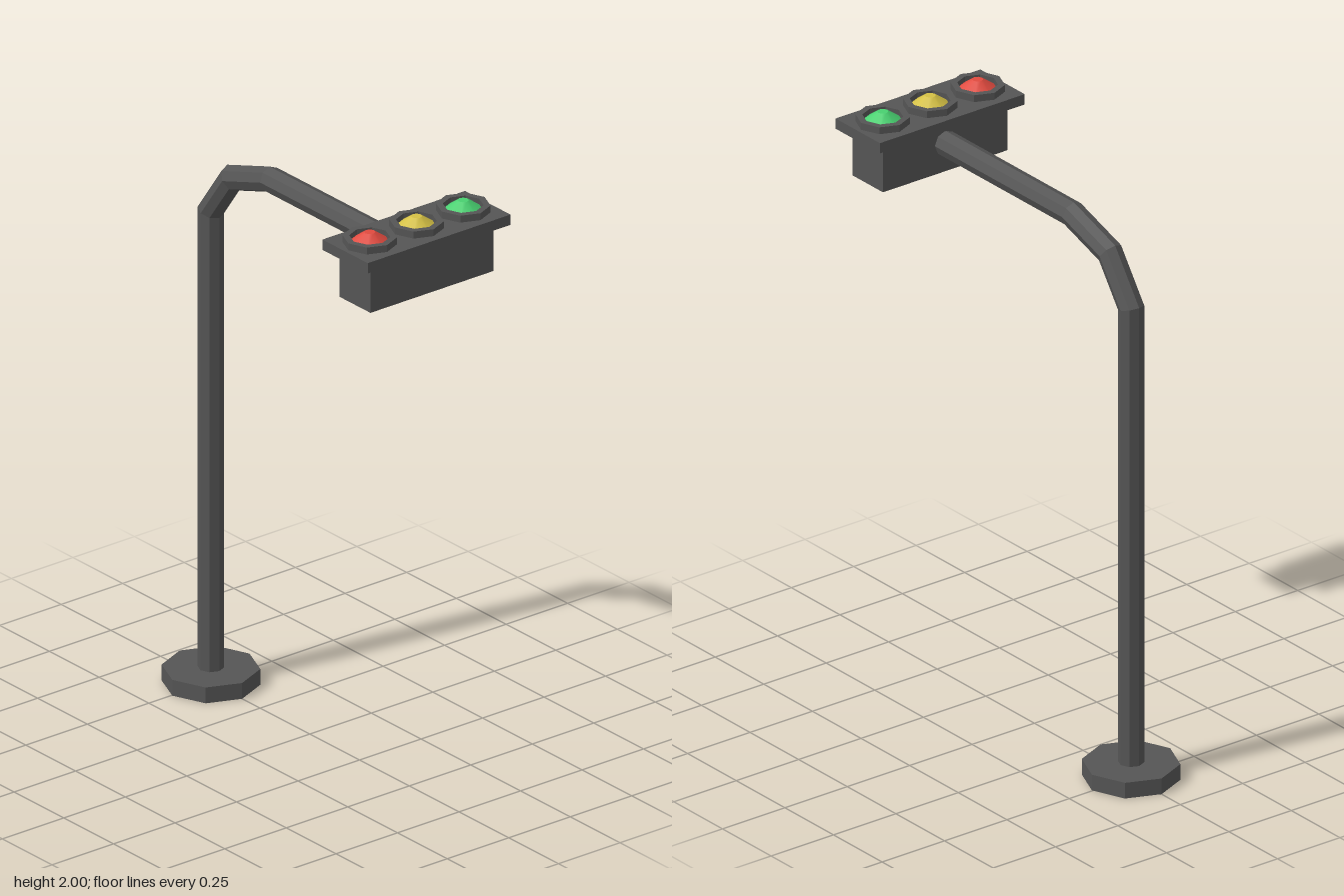
import * as THREE from 'three';

const SIDES = 8;
const metal = new THREE.MeshStandardMaterial({ color: 0x555555, flatShading: true });

function addMesh(parent, name, geometry, material, x = 0, y = 0, z = 0) {
  const mesh = new THREE.Mesh(geometry, material);
  mesh.name = name;
  mesh.position.set(x, y, z);
  parent.add(mesh);
  return mesh;
}

// Octagonal tube along a path in the xy plane, with mitred bends
function mitredTube(path, radius) {
  const points = path.map(([x, y]) => new THREE.Vector2(x, y));
  const positions = [], index = [];
  points.forEach((p, i) => {
    const before = points[i].clone().sub(points[Math.max(i - 1, 0)]).normalize();
    const after = points[Math.min(i + 1, points.length - 1)].clone().sub(p).normalize();
    const tangent = before.clone().add(after).normalize();
    const stretch = 1 / tangent.dot(i === 0 ? after : before);
    for (let k = 0; k < SIDES; k++) {
      const a = (k / SIDES) * Math.PI * 2;
      const n = Math.cos(a) * radius * stretch;
      positions.push(p.x - tangent.y * n, p.y + tangent.x * n, Math.sin(a) * radius);
      if (i === 0) continue;
      const k2 = (k + 1) % SIDES, lo = (i - 1) * SIDES, hi = i * SIDES;
      index.push(lo + k, lo + k2, hi + k, lo + k2, hi + k2, hi + k);
    }
  });
  const geometry = new THREE.BufferGeometry();
  geometry.setAttribute('position', new THREE.Float32BufferAttribute(positions, 3));
  geometry.setIndex(index);
  const flat = geometry.toNonIndexed();
  flat.computeVertexNormals();
  return flat;
}

const lathe = (profile) =>
  new THREE.LatheGeometry(profile.map(([r, y]) => new THREE.Vector2(r, y)), SIDES);

export function createModel() {
  const model = new THREE.Group();
  model.name = 'trafficLight';

  // Base plate and bent pole
  addMesh(model, 'base', new THREE.CylinderGeometry(0.157, 0.157, 0.055, SIDES), metal, -0.497, 0.0275, 0);
  const path = [[-0.497, 0.01], [-0.497, 1.648], [-0.389, 1.799], [-0.196, 1.863], [0.5, 1.863]];
  addMesh(model, 'pole', mitredTube(path, 0.042), metal);

  // Signal head: housing box with a wider face plate on top
  const head = new THREE.Group();
  head.name = 'signalHead';
  head.position.set(0.536, 0, 0);
  model.add(head);
  addMesh(head, 'housing', new THREE.BoxGeometry(0.156, 0.164, 0.5), metal, 0, 1.845, 0);
  addMesh(head, 'facePlate', new THREE.BoxGeometry(0.228, 0.036, 0.58), metal, 0, 1.943, 0);

  // Three lamps, each a raised rim around a faceted lens
  const lamps = [['red', 0xe04a3f, 0.19], ['yellow', 0xd4c044, 0], ['green', 0x48d070, -0.19]];
  for (const [name, color, z] of lamps) {
    const lamp = new THREE.Group();
    lamp.name = name + 'Lamp';
    lamp.position.set(0, 1.961, z);
    head.add(lamp);
    addMesh(lamp, 'rim', lathe([[0.087, 0], [0.087, 0.024], [0.065, 0.024], [0.065, 0]]), metal);
    const glass = new THREE.MeshStandardMaterial({ color });
    addMesh(lamp, 'lens', new THREE.CylinderGeometry(0.018, 0.065, 0.034, SIDES), glass, 0, 0.022, 0);
  }
  return model;
}
